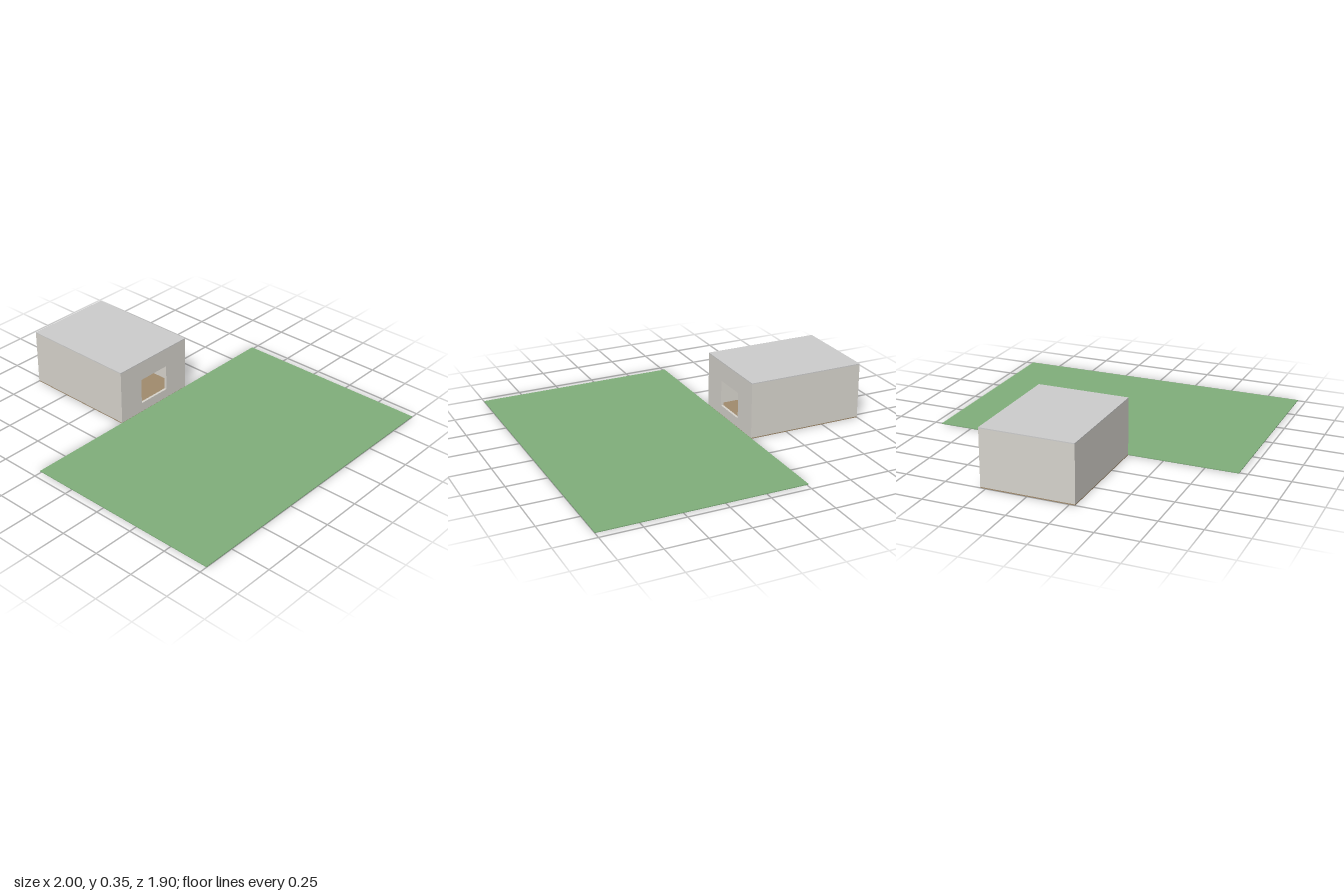
import * as THREE from 'three';

const material = (color) => new THREE.MeshStandardMaterial({ color });

// Adds a box given by its min and max corners
function addBox(group, name, mat, [x0, y0, z0], [x1, y1, z1]) {
  const mesh = new THREE.Mesh(new THREE.BoxGeometry(x1 - x0, y1 - y0, z1 - z0), mat);
  mesh.position.set((x0 + x1) / 2, (y0 + y1) / 2, (z0 + z1) / 2);
  mesh.name = name;
  group.add(mesh);
}

export function createModel() {
  const model = new THREE.Group();
  model.name = 'roomWithLawn';
  const wallMat = material(0xd6d3cc);

  const X0 = -1, X1 = -0.26, Z = 0.283, H = 0.355; // room extents
  const T = 0.015, FLOOR = 0.006, ROOF = 0.006; // thicknesses
  const base = FLOOR, top = H - ROOF;

  const room = new THREE.Group();
  room.name = 'room';
  model.add(room);

  // Floor and flat roof
  addBox(room, 'floor', material(0xa08a6c), [X0, 0, -Z], [X1, FLOOR, Z]);
  addBox(room, 'roof', material(0xcccccc), [X0, top, -Z], [X1, H, Z]);

  // Solid walls
  addBox(room, 'frontWall', wallMat, [X0, base, Z - T], [X1 - T, top, Z]);
  addBox(room, 'backWall', wallMat, [X0, base, -Z], [X1 - T, top, -Z + T]);
  addBox(room, 'endWall', wallMat, [X0, base, -Z + T], [X0 + T, top, Z - T]);

  // Wall facing the lawn, with an open window
  const shape = new THREE.Shape([[-Z, base], [Z, base], [Z, top], [-Z, top]]
    .map(([a, b]) => new THREE.Vector2(a, b)));
  shape.holes.push(new THREE.Path([[-0.11, 0.065], [-0.11, 0.23], [0.11, 0.23], [0.11, 0.065]]
    .map(([a, b]) => new THREE.Vector2(a, b))));
  const windowWall = new THREE.Mesh(
    new THREE.ExtrudeGeometry(shape, { depth: T, bevelEnabled: false }), wallMat);
  windowWall.rotation.y = Math.PI / 2;
  windowWall.position.x = X1 - T;
  windowWall.name = 'windowWall';
  room.add(windowWall);

  // Thin lawn beside the room
  addBox(model, 'lawn', material(0x7fae7a), [X1, 0, -0.95], [1, 0.005, 0.95]);

  return model;
}
